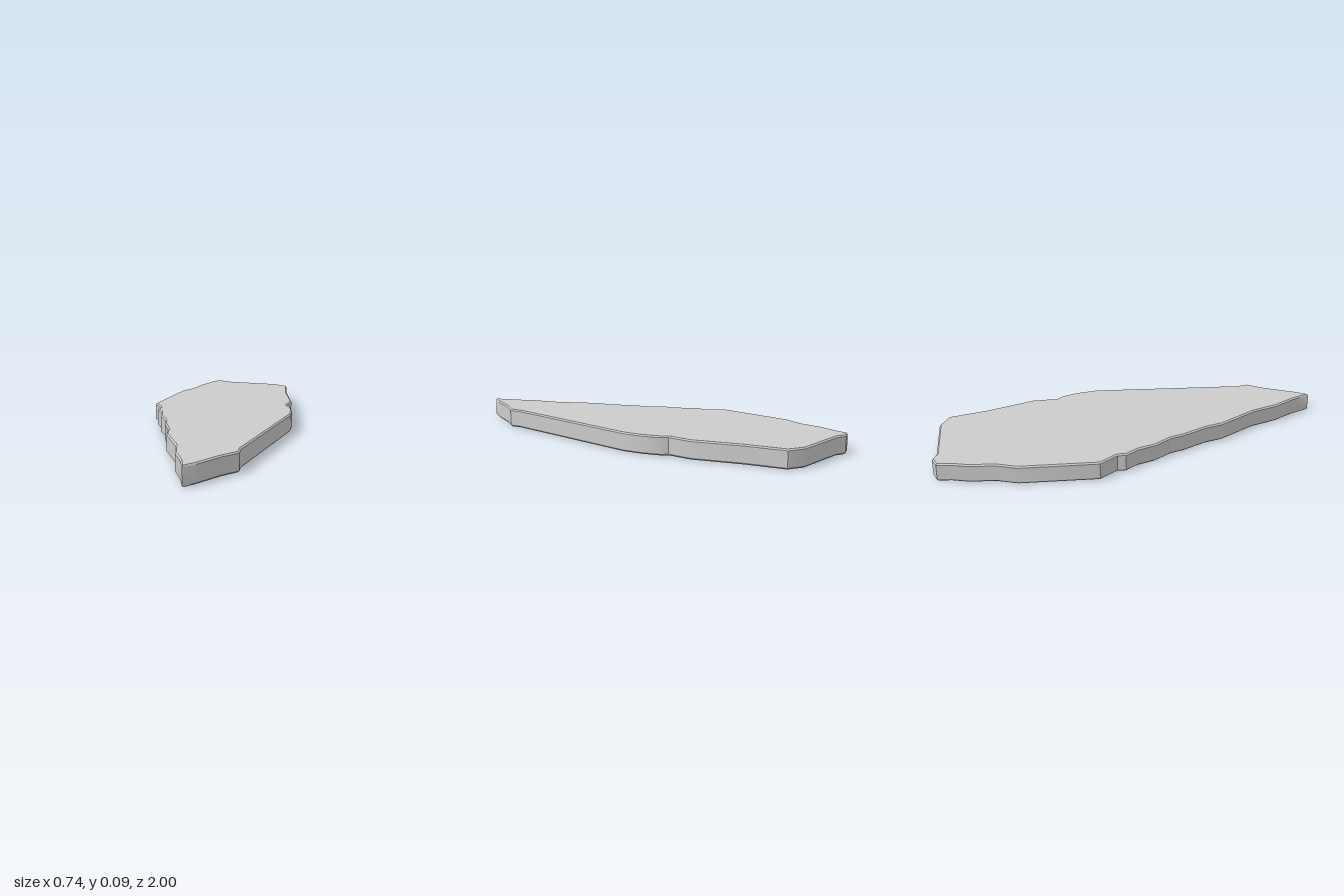
import * as THREE from 'three';
import { toCreasedNormals } from 'three/addons/utils/BufferGeometryUtils.js';

const HEIGHT = 0.093;
const BEVEL = 0.007;

// Irregular slab outline as [x, z], from the back tip round by +x
const OUTLINE = [
  [-0.14, -0.99], [-0.085, -1.0], [-0.04, -0.97], [0.24, -0.915], [0.31, -0.86],
  [0.32, -0.66], [0.355, -0.41], [0.335, -0.285], [0.355, -0.25], [0.368, -0.16],
  [0.365, -0.06], [0.175, 0.68], [0.175, 0.74], [0.105, 0.815], [0.015, 0.945],
  [-0.037, 1.0], [-0.06, 0.895], [-0.1, 0.78], [-0.12, 0.64], [-0.155, 0.545],
  [-0.195, 0.435], [-0.203, 0.34], [-0.24, 0.21], [-0.248, 0.14], [-0.29, 0.04],
  [-0.302, -0.05], [-0.333, -0.12], [-0.323, -0.16], [-0.369, -0.26], [-0.285, -0.635],
  [-0.23, -0.73], [-0.2, -0.845], [-0.16, -0.925],
];

export function createModel() {
  const group = new THREE.Group();
  group.name = 'stoneSlab';

  const stone = new THREE.MeshStandardMaterial({ color: 0xcccccc });
  stone.name = 'light grey stone';

  // Flat slab with a narrow chamfer round both rims
  const shape = new THREE.Shape(OUTLINE.map(([x, z]) => new THREE.Vector2(x, z)));
  const slab = new THREE.ExtrudeGeometry(shape, {
    depth: HEIGHT - 2 * BEVEL,
    bevelEnabled: true,
    bevelThickness: BEVEL,
    bevelSize: BEVEL,
    bevelOffset: -BEVEL,
    bevelSegments: 1,
  });
  slab.rotateX(Math.PI / 2); // lay it flat: outline y becomes z
  slab.translate(0, HEIGHT - BEVEL, 0);

  // Soften the shallow bends of the rim, keep the chamfers and corners sharp
  const mesh = new THREE.Mesh(toCreasedNormals(slab, 0.6), stone);
  mesh.name = 'slab';
  group.add(mesh);
  return group;
}
